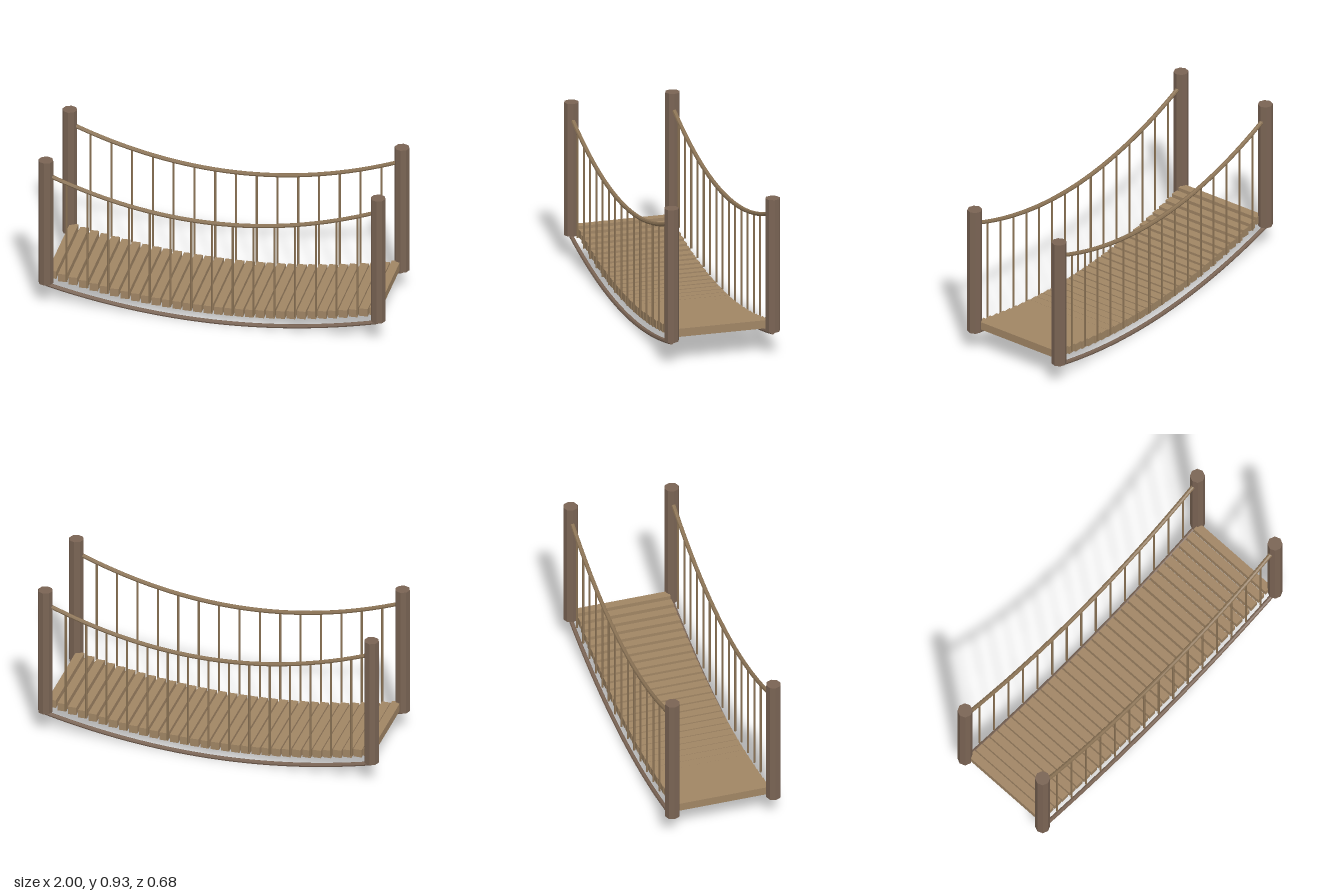
import * as THREE from 'three';

const HALF = 0.957;   // half span between post centres
const SIDE = 0.297;   // z of the posts and ropes
const PLANKS = 32;
const HANGERS = 16;

// height of a hanging curve at x
const sag = (x, low, rise) => low + rise * (x / HALF) ** 2;
const railY = (x) => sag(x, 0.646, 0.195);
const deckY = (x) => sag(x, 0.072, 0.118);
const cableY = (x) => sag(x, 0.0125, 0.119);

function mat(name, color) {
  const m = new THREE.MeshStandardMaterial({ color, flatShading: true });
  m.name = name;
  return m;
}

// straight capped rod along x, bent to follow a height rule
function hangingRope(radius, heightAt) {
  const g = new THREE.CylinderGeometry(radius, radius, HALF * 2, 8, 32);
  g.rotateZ(Math.PI / 2);
  const p = g.attributes.position;
  for (let i = 0; i < p.count; i++) p.setY(i, p.getY(i) + heightAt(p.getX(i)));
  g.computeVertexNormals();
  return g;
}

export function createModel() {
  const model = new THREE.Group();
  model.name = 'ropeBridge';
  const postWood = mat('dark post wood', 0x7a6454);
  const plankWood = mat('plank wood', 0xa08564);
  const rope = mat('rope', 0x8b7355);

  const add = (name, geometry, material, x, y, z) => {
    const mesh = new THREE.Mesh(geometry, material);
    mesh.name = name;
    mesh.position.set(x, y, z);
    model.add(mesh);
  };

  // deck planks stepping along the curve
  const plankGeo = new THREE.BoxGeometry(0.049, 0.048, 0.55);
  for (let i = 0; i < PLANKS; i++) {
    const x = -HALF + ((i + 0.5) * 2 * HALF) / PLANKS;
    add('plank', plankGeo, plankWood, x, deckY(x), 0);
  }

  const postGeo = new THREE.CylinderGeometry(0.0425, 0.0425, 0.787, 8);
  const railGeo = hangingRope(0.0125, railY);
  const cableGeo = hangingRope(0.0125, cableY);

  for (const s of [-1, 1]) {
    const z = s * SIDE;
    // corner posts
    for (const e of [-1, 1]) add('post', postGeo, postWood, e * HALF, 0.5365, z);
    // hand rope above, support cable below
    add('handRope', railGeo, rope, 0, 0, z);
    add('supportCable', cableGeo, postWood, 0, 0, z);
    // vertical hangers from hand rope to deck
    for (let i = 1; i < HANGERS; i++) {
      const x = -HALF + (i * 2 * HALF) / HANGERS;
      const top = railY(x), bottom = deckY(x);
      const g = new THREE.CylinderGeometry(0.0062, 0.0062, top - bottom, 6);
      add('hanger', g, rope, x, (top + bottom) / 2, z);
    }
  }
  return model;
}
